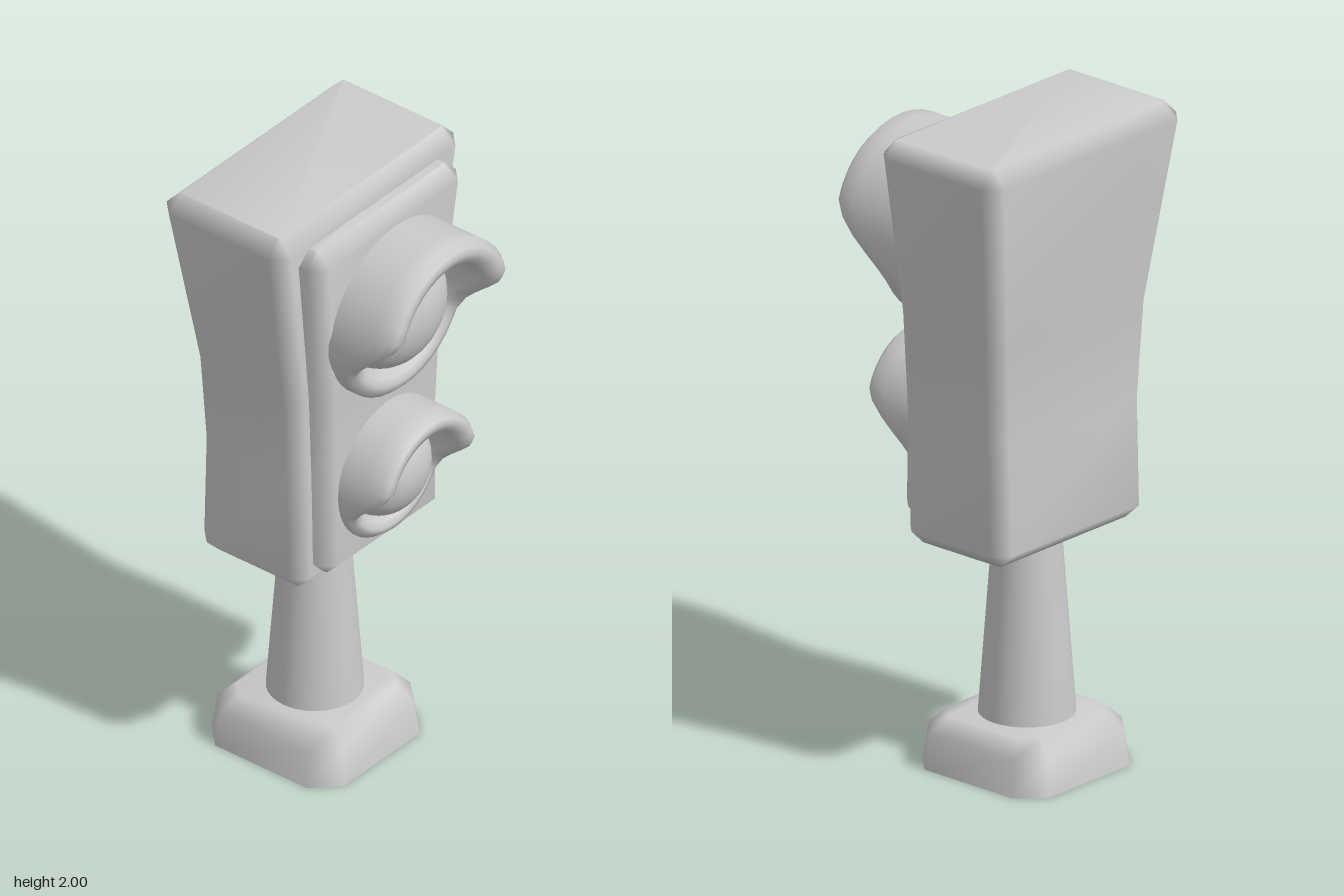
import * as THREE from 'three';

const material = new THREE.MeshStandardMaterial({ color: 0xcccccc });
const openMaterial = new THREE.MeshStandardMaterial({ color: 0xcccccc, side: THREE.DoubleSide });

// Skin a list of closed rings (equal point counts) with smooth, area-weighted normals
function skin(rings, capStart, capEnd) {
  const n = rings[0].length;
  const index = [];
  for (let i = 0; i < rings.length - 1; i++) {
    for (let j = 0; j < n; j++) {
      const a = i * n + j, b = i * n + (j + 1) % n;
      index.push(a, b, b + n, a, b + n, a + n);
    }
  }
  const last = (rings.length - 1) * n;
  for (let j = 1; j < n - 1; j++) {
    if (capStart) index.push(0, j + 1, j);
    if (capEnd) index.push(last, last + j, last + j + 1);
  }
  const geometry = new THREE.BufferGeometry();
  geometry.setAttribute('position', new THREE.Float32BufferAttribute(rings.flat(2), 3));
  geometry.setIndex(index);
  geometry.computeVertexNormals();
  return geometry;
}

// Horizontal rectangle with cut corners
function section([y, x0, x1, h, c]) {
  return [
    [x1, y, h - c], [x1, y, c - h], [x1 - c, y, -h], [x0 + c, y, -h],
    [x0, y, c - h], [x0, y, h - c], [x0 + c, y, h], [x1 - c, y, h],
  ];
}

// Hooded ring: long at the top, sweeping back to a short lip at the bottom
function visorGeometry(radius, inner, back, shortX, longX) {
  const k = radius / 0.28;
  const profile = [ // radius, distance behind the front edge (null = at the back)
    [radius, null], [radius, 0.075], [radius, 0.025], [radius - 0.02 * k, 0.004],
    [radius - 0.04 * k, 0], [inner + 0.018 * k, 0.008], [inner + 0.003, 0.03],
    [inner, 0.06], [inner, null],
  ];
  const steps = 40;
  return skin(profile.map(([r, inset]) => {
    const ring = [];
    for (let j = 0; j < steps; j++) {
      const a = (j / steps) * Math.PI * 2;
      const front = shortX + (longX - shortX) * THREE.MathUtils.smoothstep(Math.cos(a), -0.5, 0.35);
      const x = inset === null ? back : Math.max(back, front - inset);
      ring.push([x, r * Math.cos(a), r * Math.sin(a)]);
    }
    return ring;
  }), false, false);
}

export function createModel() {
  const group = new THREE.Group();
  const add = (name, geometry, mat = material, parent = group) => {
    const mesh = new THREE.Mesh(geometry, mat);
    mesh.name = name;
    parent.add(mesh);
    return mesh;
  };

  // Hollow base, open underneath
  add('base', skin([
    [0, -0.372, 0.122, 0.25, 0.075],
    [0.11, -0.357, 0.107, 0.235, 0.07],
    [0.16, -0.31, 0.06, 0.19, 0.05],
  ].map(section), false, true), openMaterial);

  // Tapered pole, reaching slightly into the base
  const pole = add('pole', new THREE.CylinderGeometry(0.1, 0.147, 0.63, 32, 1, true), openMaterial);
  pole.position.set(-0.128, 0.425, 0);

  // Flared signal housing
  add('housing', skin([
    [0.72, -0.27, 0.035, 0.275, 0.005],
    [0.765, -0.317, 0.08, 0.32, 0.045],
    [1.1, -0.307, 0.074, 0.322, 0.045],
    [1.4, -0.317, 0.076, 0.34, 0.045],
    [1.95, -0.377, 0.091, 0.423, 0.048],
    [2, -0.33, 0.045, 0.375, 0.005],
  ].map(section), true, true));

  // Raised front plate
  add('frontPlate', skin([
    [0.77, 0, 0.1, 0.225, 0.005],
    [0.81, 0, 0.14, 0.262, 0.04],
    [1.1, 0, 0.137, 0.262, 0.04],
    [1.4, 0, 0.142, 0.277, 0.04],
    [1.9, 0, 0.166, 0.34, 0.045],
    [1.945, 0, 0.12, 0.295, 0.005],
  ].map(section), true, true));

  // Lamps: visor and domed lens
  const lamps = [
    { name: 'upperLamp', y: 1.614, z: -0.012, r: 0.282, inner: 0.2, back: 0.1, short: 0.205, long: 0.377, depth: 0.145 },
    { name: 'lowerLamp', y: 1.044, z: -0.006, r: 0.225, inner: 0.156, back: 0.09, short: 0.17, long: 0.308, depth: 0.12 },
  ];
  for (const l of lamps) {
    const lamp = new THREE.Group();
    lamp.name = l.name;
    lamp.position.set(0, l.y, l.z);
    group.add(lamp);
    add('visor', visorGeometry(l.r, l.inner, l.back, l.short, l.long), material, lamp);
    const lens = add('lens', new THREE.SphereGeometry(1, 32, 20), material, lamp);
    lens.scale.set(l.depth, l.inner, l.inner);
    lens.position.x = l.back + 0.04;
  }
  return group;
}
